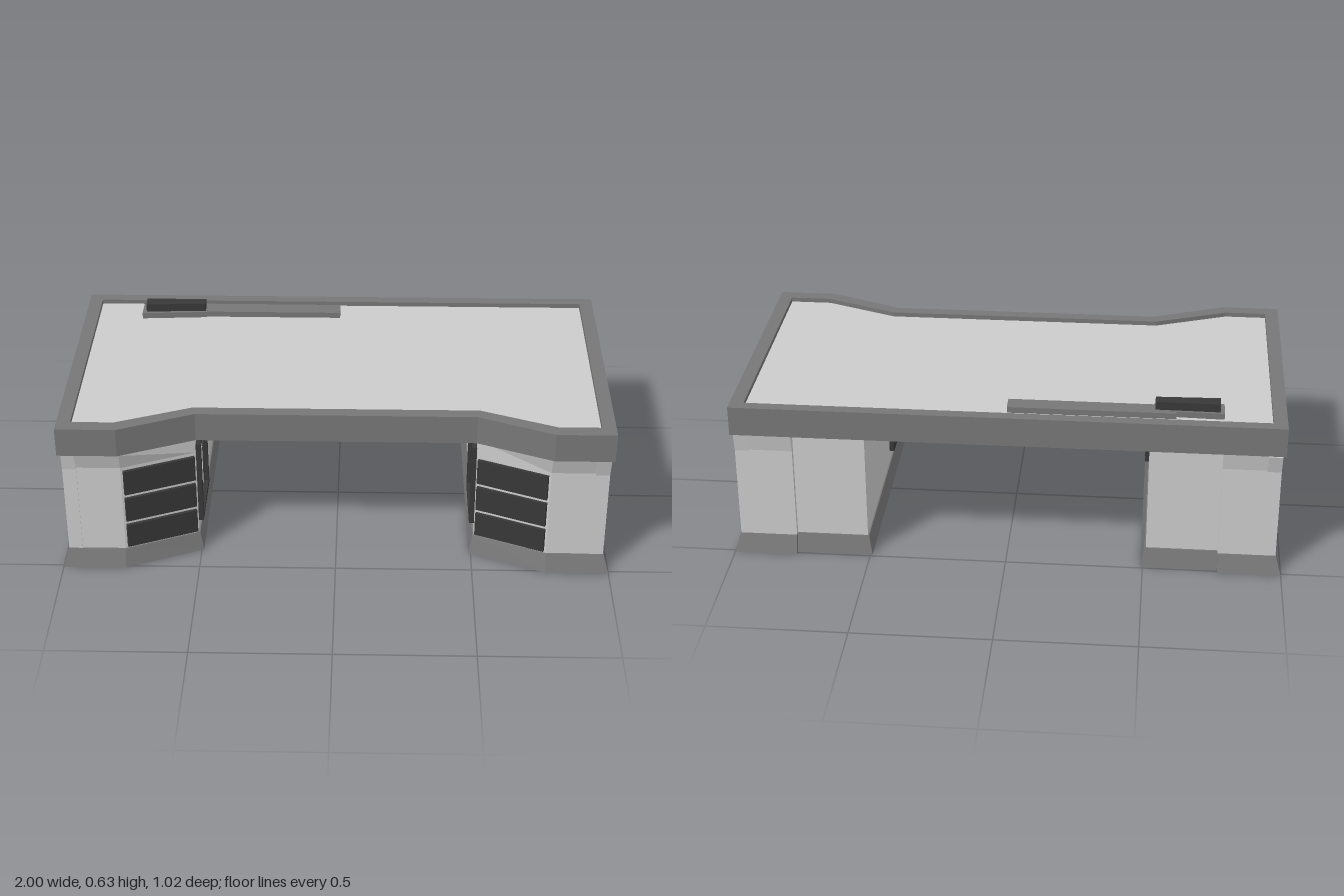
import * as THREE from 'three';

const mat = (color) => new THREE.MeshStandardMaterial({ color, flatShading: true });
const LIGHT = mat(0xcccccc), MID = mat(0x777777), DARK = mat(0x383838);

function add(parent, name, geometry, material) {
  const mesh = new THREE.Mesh(geometry, material);
  mesh.name = name;
  parent.add(mesh);
  return mesh;
}

// Solid between two [x, z] outlines with the same number of corners
function loft(low, high, y0, y1) {
  let a = low.map((p) => new THREE.Vector2(...p));
  let b = high.map((p) => new THREE.Vector2(...p));
  if (THREE.ShapeUtils.area(a) < 0) { a = a.reverse(); b = b.reverse(); }
  const pos = [];
  const put = (p, y) => pos.push(p.x, y, p.y);
  for (const [i, j, k] of THREE.ShapeUtils.triangulateShape(a, [])) {
    put(a[i], y0); put(a[j], y0); put(a[k], y0);
    put(b[i], y1); put(b[k], y1); put(b[j], y1);
  }
  a.forEach((p, i) => {
    const n = (i + 1) % a.length;
    put(a[i], y0); put(b[i], y1); put(b[n], y1);
    put(a[i], y0); put(b[n], y1); put(a[n], y0);
  });
  const g = new THREE.BufferGeometry();
  g.setAttribute('position', new THREE.Float32BufferAttribute(pos, 3));
  g.computeVertexNormals();
  return g;
}
const prism = (outline, y0, y1) => loft(outline, outline, y0, y1);

const toShape = (pts) => new THREE.Shape(pts.map((p) => new THREE.Vector2(...p)));

// Plate drawn in [z, y], reaching inward from x = xOuter
function sidePlate(pts, xOuter, depth, hole) {
  const shape = toShape(pts);
  if (hole) shape.holes.push(new THREE.Path(hole.map((p) => new THREE.Vector2(...p))));
  return new THREE.ExtrudeGeometry(shape, { depth, bevelEnabled: false })
    .rotateY(-Math.PI / 2).translate(xOuter, 0, 0);
}
const rect = (a0, b0, a1, b1) => [[a0, b0], [a1, b0], [a1, b1], [a0, b1]];

function createTop(desk) {
  const top = new THREE.Group();
  top.name = 'deskTop';
  const outer = [[-0.99, -0.502], [0.99, -0.502], [0.99, 0.508], [0.775, 0.508],
    [0.505, 0.395], [-0.505, 0.395], [-0.775, 0.508], [-0.99, 0.508]];
  const inner = [[-0.94, -0.46], [0.94, -0.46], [0.94, 0.457], [0.785, 0.457],
    [0.515, 0.35], [-0.515, 0.35], [-0.785, 0.457], [-0.94, 0.457]];
  const ring = toShape(outer);
  ring.holes.push(new THREE.Path(inner.map((p) => new THREE.Vector2(...p))));
  add(top, 'topRim', new THREE.ExtrudeGeometry(ring, { depth: 0.11, bevelEnabled: false })
    .rotateX(Math.PI / 2).translate(0, 0.595, 0), MID);
  add(top, 'topUnderside', prism(inner, 0.485, 0.565), MID);
  add(top, 'workSurface', prism(inner, 0.565, 0.578), LIGHT);
  // Long tray with a small raised unit at its end
  add(top, 'trayStrip', prism(rect(-0.6, -0.425, 0, -0.36), 0.57, 0.6), MID);
  add(top, 'trayEnd', prism([[-0.77, -0.415], [-0.52, -0.407], [-0.52, -0.355], [-0.77, -0.34]],
    0.57, 0.601), MID);
  add(top, 'trayUnit', prism([[-0.755, -0.405], [-0.525, -0.402], [-0.525, -0.362], [-0.755, -0.355]],
    0.6, 0.632), DARK);
  desk.add(top);
}

function createPedestal(s) {
  const ped = new THREE.Group();
  ped.name = s > 0 ? 'leftPedestal' : 'rightPedestal';
  const side = (pts) => pts.map(([x, z]) => [s * x, z]);

  // Flared base with projecting corners
  const foot = [[1, 0.512], [0.77, 0.512], [0.492, 0.392], [0.492, -0.49], [0.77, -0.49],
    [0.77, -0.512], [1, -0.512], [1, -0.47], [0.985, -0.455], [0.985, 0.455], [1, 0.47]];
  const footTop = [[0.98, 0.49], [0.77, 0.49], [0.505, 0.378], [0.505, -0.473], [0.77, -0.473],
    [0.77, -0.49], [0.98, -0.49], [0.98, -0.47], [0.978, -0.455], [0.978, 0.455], [0.98, 0.47]];
  add(ped, 'base', loft(side(foot), side(footTop), 0, 0.07), MID);

  // Body in three layers, the middle one with a shelf recess in the inner side
  const start = [[0.93, 0.485], [0.77, 0.485], [0.51, 0.375]];
  const end = [[0.51, -0.468], [0.77, -0.468], [0.77, -0.488], [0.93, -0.488]];
  const notch = [[0.51, 0.335], [0.64, 0.335], [0.64, 0.12], [0.51, 0.12]];
  const plain = side([...start, ...end]);
  add(ped, 'bodyLower', prism(plain, 0.07, 0.13), LIGHT);
  add(ped, 'bodyMiddle', prism(side([...start, ...notch, ...end]), 0.13, 0.42), LIGHT);
  const flared = side([[0.93, 0.506], [0.77, 0.506], [0.51, 0.375],
    ...end.slice(0, 2), [0.77, -0.5], [0.93, -0.5]]);
  add(ped, 'bodyUpper', loft(plain, flared, 0.42, 0.485), LIGHT);

  // Drawers on the slanted front
  const dir = new THREE.Vector2(-0.26, -0.11).normalize();
  const along = (t, off) => [0.77 + dir.x * t + dir.y * off, 0.485 + dir.y * t - dir.x * off];
  [[0.08, 0.175], [0.192, 0.29], [0.307, 0.407]].forEach(([y0, y1], i) => {
    const d = [along(0.008, -0.01), along(0.276, -0.01), along(0.276, 0.012), along(0.008, 0.012)];
    add(ped, `drawer${i + 1}`, prism(side(d), y0, y1), DARK);
  });

  // Frame around the shelf recess
  const frame = sidePlate(rect(0.1, 0.11, 0.357, 0.44), s > 0 ? 0.512 : -0.492, 0.02,
    rect(0.12, 0.13, 0.335, 0.42));
  add(ped, 'shelfFrame', frame, DARK);

  // Outer side: dark panel held by interlocking light plates
  const outside = new THREE.Group();
  outside.name = 'outerSide';
  outside.rotation.y = s > 0 ? 0 : Math.PI;
  add(outside, 'sidePanel', sidePlate(rect(-0.45, 0.07, 0.45, 0.485), 0.937, 0.01), DARK);
  add(outside, 'frontPlate', sidePlate([[0.488, 0.07], [0.488, 0.415], [0.508, 0.485],
    [0.345, 0.485], [0.345, 0.415], [0.318, 0.415], [0.318, 0.3], [0.2, 0.3], [0.2, 0.185],
    [0.318, 0.185], [0.318, 0.07]], 0.978, 0.05), LIGHT);
  add(outside, 'backPlate', sidePlate([[-0.488, 0.07], [-0.488, 0.415], [-0.5, 0.485],
    [-0.287, 0.485], [-0.287, 0.415], [-0.205, 0.415], [-0.205, 0.3], [-0.402, 0.3],
    [-0.402, 0.185], [-0.287, 0.185], [-0.287, 0.07]], 0.978, 0.05), LIGHT);
  ped.add(outside);
  return ped;
}

export function createModel() {
  const desk = new THREE.Group();
  desk.name = 'desk';
  createTop(desk);
  for (const s of [1, -1]) desk.add(createPedestal(s));
  return desk;
}
